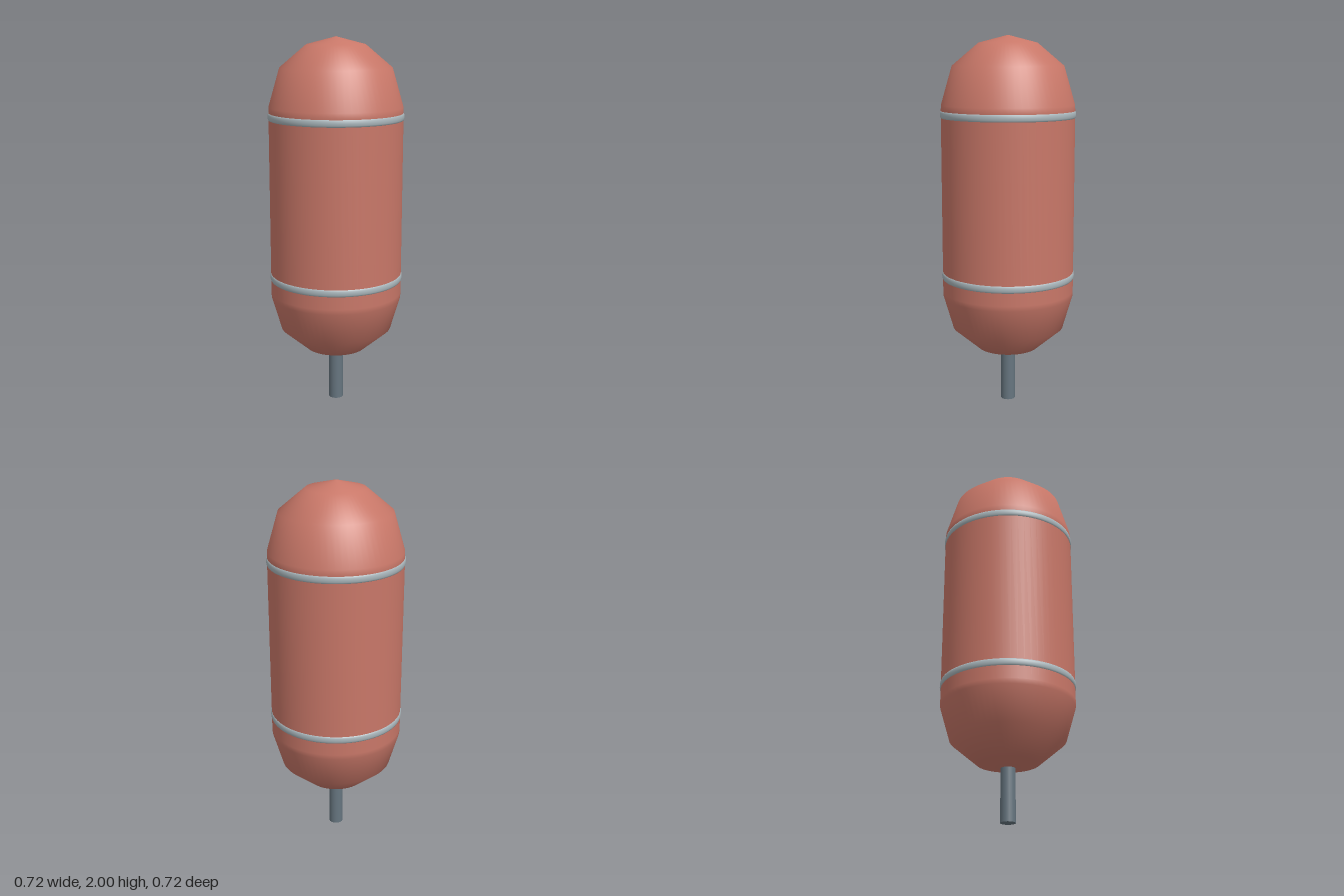
import * as THREE from 'three';

const red = new THREE.MeshStandardMaterial({ name: 'brick red', color: 0xc87768 });
const silver = new THREE.MeshStandardMaterial({ name: 'pale silver', color: 0xa9b6bb });
const steel = new THREE.MeshStandardMaterial({ name: 'dark steel', color: 0x66757f });

// Revolve a profile of [radius, height] pairs, listed bottom to top
function revolve(name, profile, material) {
  const points = profile.map(([r, y]) => new THREE.Vector2(r, y));
  const mesh = new THREE.Mesh(new THREE.LatheGeometry(points, 64), material);
  mesh.name = name;
  return mesh;
}

export function createModel() {
  const model = new THREE.Group();
  model.name = 'capsuleOnStem';

  // Capsule with faceted domes and a straight middle
  model.add(revolve('capsuleBody', [
    [0, 0.27], [0.165, 0.306], [0.303, 0.424], [0.355, 0.603], [0.356, 0.63],
    [0.356, 1.61], [0.355, 1.638], [0.296, 1.841], [0.155, 1.96], [0, 2],
  ], red));

  // Two rounded bands around the body
  for (const [name, y] of [['lowerBand', 0.718], ['upperBand', 1.588]]) {
    const band = revolve(name, [
      [0.35, -0.021], [0.357, -0.018], [0.36, -0.01], [0.361, 0],
      [0.36, 0.01], [0.357, 0.018], [0.35, 0.021],
    ], silver);
    band.position.y = y;
    model.add(band);
  }

  // Short stem under the capsule
  const stem = new THREE.Mesh(new THREE.CylinderGeometry(0.039, 0.039, 0.32, 24), steel);
  stem.name = 'stem';
  stem.position.y = 0.16;
  model.add(stem);

  return model;
}
